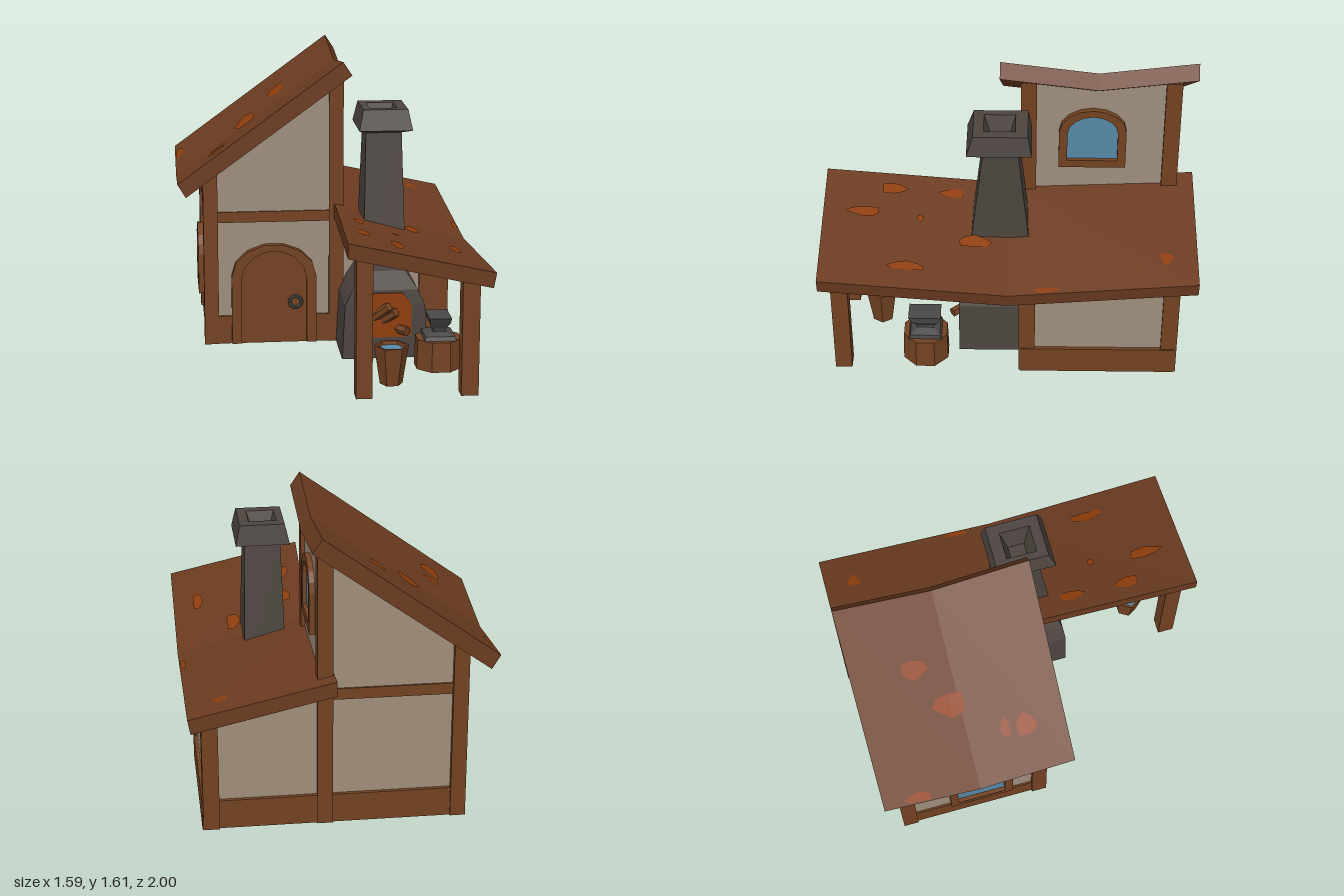
import * as THREE from 'three';

const colours = {
  timber: 0x734222, roofTile: 0x6b3b20, plaster: 0x9f8e7b, stone: 0x4c443f,
  iron: 0x4a4846, rust: 0x8f3e0c, glass: 0x5788a5,
};
const mats = {};
for (const [name, color] of Object.entries(colours)) {
  mats[name] = new THREE.MeshStandardMaterial({ color, flatShading: true });
  mats[name].name = name;
}

export function createModel() {
  const model = new THREE.Group();

  function add(name, geo, mat, parent = model) {
    const mesh = new THREE.Mesh(geo, mats[mat]);
    mesh.name = name;
    parent.add(mesh);
    return mesh;
  }

  // Box given by its limits
  function box(name, mat, x0, x1, y0, y1, z0, z1) {
    const m = add(name, new THREE.BoxGeometry(x1 - x0, y1 - y0, z1 - z0), mat);
    m.position.set((x0 + x1) / 2, (y0 + y1) / 2, (z0 + z1) / 2);
    return m;
  }

  // Skin through matching convex rings of [x, y, z], closed at both ends
  function loft(rings) {
    const n = rings[0].length, idx = [], last = (rings.length - 1) * n;
    for (let r = 0; r < rings.length - 1; r++) {
      for (let j = 0; j < n; j++) {
        const a = r * n + j, b = r * n + (j + 1) % n;
        idx.push(a, b, b + n, a, b + n, a + n);
      }
    }
    for (let j = 1; j < n - 1; j++) {
      idx.push(0, j + 1, j, last, last + j, last + j + 1);
    }
    const g = new THREE.BufferGeometry();
    g.setAttribute('position', new THREE.Float32BufferAttribute(rings.flat(2), 3));
    g.setIndex(idx);
    const flat = g.toNonIndexed();
    flat.computeVertexNormals();
    return flat;
  }
  const section = (z, pts) => pts.map(([x, y]) => [x, y, z]);
  const rect = ([y, x0, x1, z0, z1]) => [[x0, y, z1], [x1, y, z1], [x1, y, z0], [x0, y, z0]];

  // Arch outline from right foot over the top to left foot
  function archPoints(w, y0, spring, top, seg = 8) {
    const p = [new THREE.Vector2(w / 2, y0)];
    for (let i = 0; i <= seg; i++) {
      const a = Math.PI * i / seg;
      p.push(new THREE.Vector2(Math.cos(a) * w / 2, spring + Math.sin(a) * (top - spring)));
    }
    p.push(new THREE.Vector2(-w / 2, y0));
    return p;
  }
  const extrude = (shape, depth) => new THREE.ExtrudeGeometry(shape, { depth, bevelEnabled: false });

  // Plaster walls
  add('houseWalls', loft([-0.88, -0.08].map(z => section(z,
    [[-0.64, 0.1], [0.1, 0.1], [0.1, 1.49], [-0.64, 0.955]]))), 'plaster');
  add('annexWalls', loft([
    section(-0.88, [[0.09, 0.1], [0.7, 0.1], [0.7, 0.63], [0.09, 0.77]]),
    section(-0.08, [[0.09, 0.1], [0.7, 0.1], [0.7, 0.56], [0.09, 0.72]]),
  ]), 'plaster');

  // Timber frame
  box('plinth', 'timber', -0.65, 0.72, 0, 0.16, -0.9, -0.068);
  box('floorBeam', 'timber', -0.65, 0.11, 0.7, 0.76, -0.89, -0.07);
  for (const [z0, z1] of [[-0.91, -0.825], [-0.145, -0.06]]) {
    box('leftCornerPost', 'timber', -0.66, -0.58, 0, 0.98, z0, z1);
    box('tallCornerPost', 'timber', 0.04, 0.12, 0, 1.49, z0, z1);
  }
  box('annexBackPost', 'timber', 0.63, 0.715, 0, 0.63, -0.912, -0.825);
  box('annexFrontPost', 'timber', 0.55, 0.715, 0, 0.56, -0.145, -0.058);
  box('porchPostInner', 'timber', 0.08, 0.165, 0.01, 0.755, 0.85, 0.94);
  box('porchPostOuter', 'timber', 0.625, 0.715, 0.01, 0.64, 0.85, 0.94);

  // Sagging roofs
  const mainEnd = [[-0.755, 0.875], [0.155, 1.535], [0.105, 1.61], [-0.8, 0.95]];
  const mainMid = mainEnd.map(([x, y]) => [x, y - 0.067]);
  add('mainRoof', loft([section(-0.99, mainEnd), section(-0.47, mainMid), section(0.05, mainEnd)]), 'roofTile');
  const leanEnd = [[0.03, 0.77], [0.77, 0.6], [0.785, 0.68], [0.03, 0.85]];
  const leanMid = [[0.07, 0.71], [0.775, 0.517], [0.79, 0.597], [0.07, 0.795]];
  add('leanToRoof', loft([section(-1, leanEnd), section(0, leanMid), section(1, leanEnd)]), 'roofTile');

  // Rusty patches laid on the roof slopes
  const mainTop = (x, z) => 0.95 + 0.729 * (x + 0.8) - 0.067 * (1 - Math.abs(z + 0.47) / 0.52);
  const leanTop = (x, z) => THREE.MathUtils.lerp(
    0.795 - 0.275 * (x - 0.07), 0.85 - 0.225 * (x - 0.03), Math.abs(z));
  function patches(name, height, list) {
    list.forEach(([cx, cz, w, l], k) => {
      const g = new THREE.CircleGeometry(1, 8).rotateX(-Math.PI / 2);
      const p = g.attributes.position;
      for (let i = 0; i < p.count; i++) {
        const wob = 1.02 + 0.16 * Math.sin((i % 8) * 2.3 + k * 1.7);
        const x = cx + p.getX(i) * wob * w / 2, z = cz + p.getZ(i) * wob * l / 2;
        p.setXYZ(i, x, height(x, z) + 0.005, z);
      }
      g.computeVertexNormals();
      add(name, g, 'rust');
    });
  }
  patches('mainRoofPatch', mainTop, [
    [-0.775, -0.8, 0.045, 0.14], [-0.4, -0.52, 0.11, 0.17], [-0.215, -0.66, 0.085, 0.14],
    [-0.58, -0.16, 0.1, 0.11], [-0.57, -0.27, 0.09, 0.05]]);
  patches('leanToPatch', leanTop, [
    [0.61, -0.82, 0.08, 0.1], [0.61, -0.71, 0.075, 0.045], [0.48, -0.48, 0.09, 0.17],
    [0.31, -0.35, 0.07, 0.13], [0.768, -0.2, 0.03, 0.14], [0.47, 0.18, 0.075, 0.18],
    [0.165, 0.31, 0.055, 0.14], [0.34, 0.475, 0.04, 0.04], [0.15, 0.63, 0.07, 0.14],
    [0.65, 0.54, 0.055, 0.2], [0.31, 0.78, 0.065, 0.18]]);

  // Arched windows on both side walls
  function windowUnit(name, x, y, side) {
    const g = new THREE.Group();
    g.name = name;
    const frame = new THREE.Shape(archPoints(0.36, 0, 0.23, 0.37));
    frame.holes.push(new THREE.Path(archPoints(0.27, 0.045, 0.22, 0.33)));
    add('windowFrame', extrude(frame, 0.05), 'timber', g).position.z = -0.02;
    add('windowPane', extrude(new THREE.Shape(archPoints(0.28, 0.04, 0.22, 0.335)), 0.008), 'glass', g);
    g.position.set(x, y, -0.445);
    g.rotation.y = side * Math.PI / 2;
    model.add(g);
  }
  windowUnit('rightWindow', 0.1, 0.95, 1);
  windowUnit('leftWindow', -0.655, 0.24, -1);

  // Door with frame and ring handle
  const door = new THREE.Group();
  door.name = 'door';
  const surround = new THREE.Shape([
    ...archPoints(0.475, 0, 0.385, 0.572, 7), ...archPoints(0.365, 0, 0.37, 0.533, 7).reverse()]);
  add('doorFrame', extrude(surround, 0.06), 'timber', door);
  add('doorPanel', extrude(new THREE.Shape(archPoints(0.37, 0, 0.37, 0.535, 7)), 0.04), 'timber', door);
  add('doorRing', new THREE.TorusGeometry(0.034, 0.01, 6, 10), 'iron', door).position.set(0.12, 0.235, 0.046);
  door.position.set(-0.27, 0.005, -0.1);
  model.add(door);

  // Hearth, chimney and hollow cap
  add('chimney', loft([
    [0, 0.08, 0.555, -0.17, 0.27], [0.3, 0.095, 0.535, -0.17, 0.27], [0.385, 0.135, 0.495, -0.16, 0.262],
    [0.485, 0.2, 0.432, -0.13, 0.225], [1.235, 0.22, 0.415, -0.05, 0.135], [1.26, 0.175, 0.465, -0.12, 0.22],
    [1.37, 0.2, 0.443, -0.1, 0.185], [1.37, 0.24, 0.39, -0.035, 0.13], [1.25, 0.275, 0.35, 0, 0.09],
  ].map(rect)), 'stone');
  const mouth = new THREE.Shape([[0.2, 0.12], [0.46, 0.12], [0.46, 0.31], [0.41, 0.37], [0.25, 0.37], [0.2, 0.31]]
    .map(([x, y]) => new THREE.Vector2(x, y)));
  add('fireMouth', extrude(mouth, 0.009), 'rust').position.z = 0.264;

  // Firewood
  function log(a, b) {
    const from = new THREE.Vector3(...a), to = new THREE.Vector3(...b);
    const m = add('firewood', new THREE.CylinderGeometry(0.027, 0.027, from.distanceTo(to), 6), 'timber');
    m.position.copy(from).lerp(to, 0.5);
    m.quaternion.setFromUnitVectors(new THREE.Vector3(0, 1, 0), to.clone().sub(from).normalize());
  }
  log([0.22, 0.19, 0.22], [0.33, 0.305, 0.31]);
  log([0.29, 0.2, 0.24], [0.37, 0.27, 0.3]);
  log([0.36, 0.17, 0.22], [0.43, 0.16, 0.31]);

  // Water bucket
  const hexY = Math.PI / 2;
  const bucket = new THREE.LatheGeometry(
    [[0, 0], [0.06, 0], [0.092, 0.21], [0.078, 0.21], [0.074, 0.185], [0, 0.185]]
      .map(([x, y]) => new THREE.Vector2(x, y)), 6).rotateY(hexY);
  add('bucket', bucket, 'timber').position.set(0.292, 0.01, 0.71);
  const water = new THREE.CircleGeometry(0.075, 6).rotateX(-Math.PI / 2);
  add('water', water, 'glass').position.set(0.292, 0.2, 0.71);

  // Anvil on a stump
  add('stump', new THREE.CylinderGeometry(0.127, 0.132, 0.165, 8).rotateY(Math.PI / 8), 'timber')
    .position.set(0.58, 0.0925, 0.45);
  add('anvil', loft([
    [0.172, 0.495, 0.665, 0.36, 0.54], [0.197, 0.5, 0.66, 0.37, 0.53], [0.215, 0.545, 0.615, 0.405, 0.495],
    [0.235, 0.545, 0.615, 0.4, 0.5], [0.265, 0.525, 0.635, 0.38, 0.52], [0.3, 0.52, 0.64, 0.365, 0.54],
  ].map(rect)), 'iron');

  return model;
}
